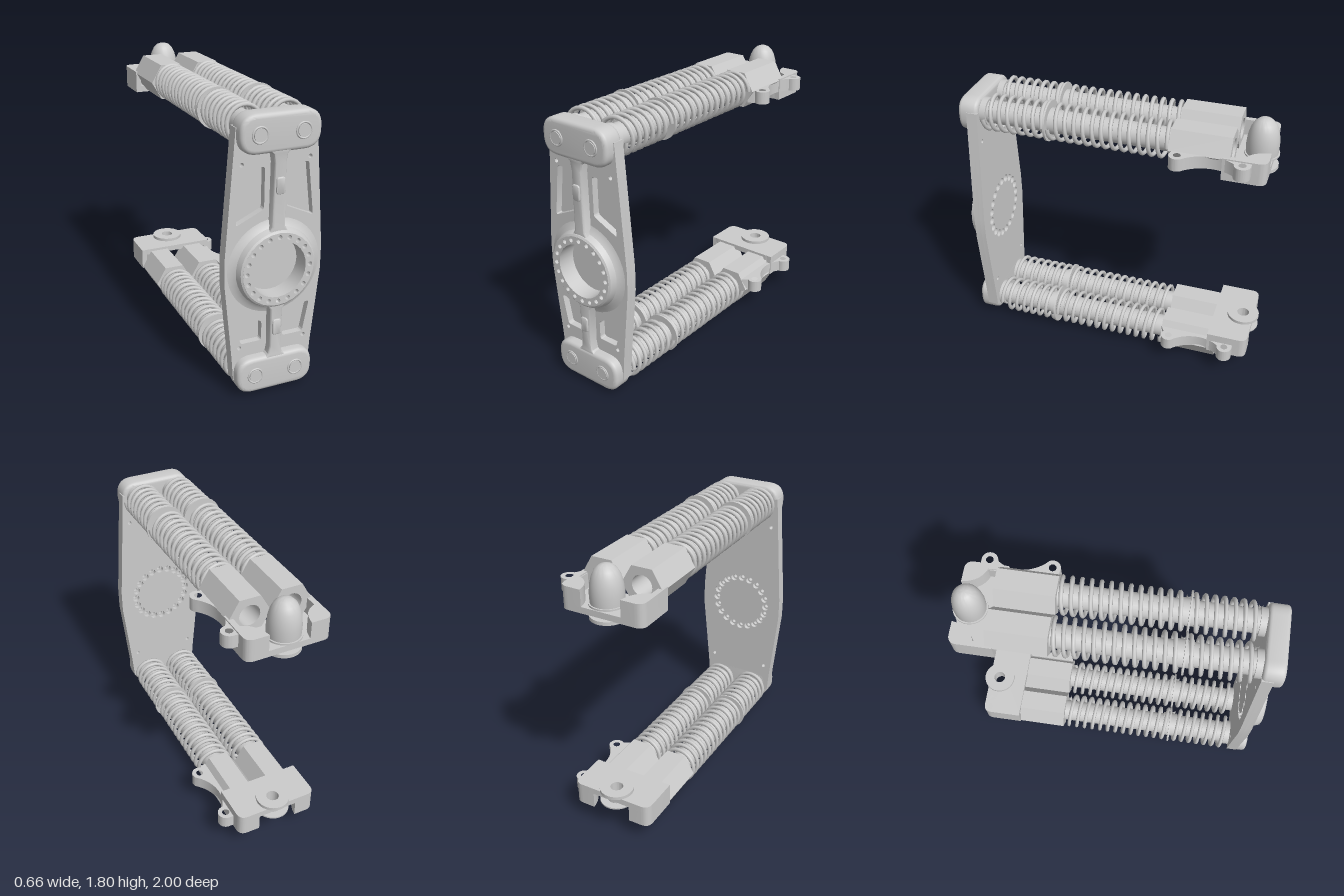
import * as THREE from 'three';
import { toCreasedNormals } from 'three/addons/utils/BufferGeometryUtils.js';

const CX = -0.03;        // centre line of the frame
const MID = 0.88;        // mirror height between the two arms
const HUB = 0.813;       // hub height
const ROD_Y = 1.632;
const TAU = Math.PI * 2;
const mat = new THREE.MeshStandardMaterial({ color: 0xcccccc });

function add(group, name, geo) {
  const m = new THREE.Mesh(geo, mat);
  m.name = name;
  group.add(m);
  return m;
}

function circle(x, y, r) {
  return new THREE.Path().absarc(x, y, r, 0, TAU, true);
}

const poly = pts => new THREE.Shape(pts.map(p => new THREE.Vector2(p[0], p[1])));

// polygon with rounded corners
function rounded(pts, r, Type = THREE.Shape) {
  const s = new Type(), n = pts.length, v = pts.map(p => new THREE.Vector2(p[0], p[1]));
  v.forEach((c, i) => {
    const a = v[(i + n - 1) % n], b = v[(i + 1) % n];
    const p = c.clone().add(a.clone().sub(c).setLength(r));
    const q = c.clone().add(b.clone().sub(c).setLength(r));
    if (i) s.lineTo(p.x, p.y); else s.moveTo(p.x, p.y);
    s.quadraticCurveTo(c.x, c.y, q.x, q.y);
  });
  s.closePath();
  return s;
}

// extrude from z0 to z1, outline kept at its widest
function extrude(shape, z0, z1, bevel = 0) {
  const g = new THREE.ExtrudeGeometry(shape, {
    depth: z1 - z0 - 2 * bevel, bevelEnabled: bevel > 0, bevelSize: bevel, bevelThickness: bevel,
    bevelOffset: -bevel, bevelSegments: 4, curveSegments: 14,
  });
  g.translate(0, 0, z0 + bevel);
  return toCreasedNormals(g, 0.6);
}

// horizontal slab from an outline in x and z
const slab = (shape, y0, y1) => extrude(shape, 0, y1 - y0).rotateX(Math.PI / 2).translate(0, y1, 0);

const lathe = pts => toCreasedNormals(
  new THREE.LatheGeometry(pts.map(p => new THREE.Vector2(p[0], p[1])), 40), 0.6);

function cylZ(r, z0, z1, x, y) {
  return new THREE.CylinderGeometry(r, r, z1 - z0, 28).rotateX(Math.PI / 2).translate(x, y, (z0 + z1) / 2);
}

class Helix extends THREE.Curve {
  constructor(x, y, z0, z1, r, turns) {
    super();
    Object.assign(this, { x, y, z0, z1, r, turns });
  }
  getPoint(t, out = new THREE.Vector3()) {
    const a = t * this.turns * TAU;
    return out.set(this.x + this.r * Math.cos(a), this.y + this.r * Math.sin(a), this.z0 + (this.z1 - this.z0) * t);
  }
}

// reflect a geometry to the lower arm and restore its winding
function flipped(geo) {
  const g = geo.index ? geo.toNonIndexed() : geo.clone();
  for (const key of ['position', 'normal']) {
    const a = g.attributes[key];
    for (let i = 0; i < a.count; i++) a.setY(i, (key === 'position' ? 2 * MID : 0) - a.getY(i));
    for (let i = 0; i < a.count; i += 3) {
      const p = new THREE.Vector3().fromBufferAttribute(a, i + 1);
      const q = new THREE.Vector3().fromBufferAttribute(a, i + 2);
      a.setXYZ(i + 1, q.x, q.y, q.z);
      a.setXYZ(i + 2, p.x, p.y, p.z);
    }
  }
  return g;
}

function buildPlate() {
  const g = new THREE.Group();
  g.name = 'frontPlate';

  // tapered plate in two layers, the front one pierced by the pockets
  const half = [[0.25, 0.1], [0.262, 0.26], [0.31, 0.74], [0.31, 0.89], [0.262, 1.5], [0.25, 1.66]];
  const outline = () => poly([
    ...half.map(([x, y]) => [CX + x, y]), ...half.slice().reverse().map(([x, y]) => [CX - x, y])]);
  const back = outline(), front = outline();
  for (const s of [back, front]) {
    s.holes.push(circle(CX, HUB, 0.238));
    for (const x of [-0.212, 0.212]) for (const y of [0.31, 1.447]) s.holes.push(circle(CX + x, y, 0.013));
  }
  const upper = [[0.07, 1.42], [0.205, 1.42], [0.245, 1.09], [0.07, 1.17]];
  const lower = [[0.07, 0.335], [0.205, 0.335], [0.243, 0.535], [0.2, 0.53], [0.07, 0.46]];
  for (const s of [-1, 1]) for (const p of [upper, lower])
    front.holes.push(rounded(p.map(([x, y]) => [CX + s * x, y]), 0.018, THREE.Path));
  add(g, 'plateBack', extrude(back, 0.86, 0.89));
  add(g, 'plateFront', extrude(front, 0.89, 0.932));

  // hub with a ring of holes, counterbored at the back
  const disc = new THREE.Shape().absarc(CX, HUB, 0.24, 0, TAU);
  const ring = new THREE.Shape().absarc(CX, HUB, 0.226, 0, TAU);
  ring.holes.push(circle(CX, HUB, 0.173));
  for (let i = 0; i < 20; i++) {
    const a = (i + 0.5) / 20 * TAU + Math.PI / 20;
    const x = CX + 0.2 * Math.cos(a), y = HUB + 0.2 * Math.sin(a);
    disc.holes.push(circle(x, y, 0.026));
    ring.holes.push(circle(x, y, 0.0145));
  }
  add(g, 'hubFloor', extrude(disc, 0.86, 0.888));
  add(g, 'hubRing', extrude(ring, 0.888, 1));
  add(g, 'hubFlare', lathe([[0.302, 0.93], [0.272, 0.938], [0.25, 0.955], [0.242, 0.98], [0.237, 0.992], [0.224, 1]])
    .rotateX(Math.PI / 2).scale(1, 1, 1).translate(CX, HUB, 0)).material =
    new THREE.MeshStandardMaterial({ color: 0xcccccc, side: THREE.DoubleSide });

  // ribs and end pads with bolt heads
  for (const s of [-1, 1]) {
    const y = v => MID + s * v;
    const hubEnd = HUB + s * 0.21 - MID;
    const side = [[0.07, s * hubEnd], [0.04, s * hubEnd + 0.05], [0.036, 0.57], [0.045, 0.62], [0.075, 0.65]];
    const rib = poly([...side.map(([x, v]) => [CX + x, y(v)]),
      ...side.slice().reverse().map(([x, v]) => [CX - x, y(v)])]);
    add(g, 'rib', extrude(rib, 0.92, 0.988, 0.012));
    const boss = rounded([[-0.027, 0.39], [0.027, 0.39], [0.027, 0.49], [-0.027, 0.49]].map(([x, v]) => [CX + x, y(v)]), 0.018);
    add(g, 'ribBoss', extrude(boss, 0.95, 0.998, 0.006));
    const pad = rounded([[-0.247, 0.63], [0.247, 0.63], [0.247, 0.857], [-0.247, 0.857]].map(([x, v]) => [CX + x, y(v)]), 0.105);
    add(g, 'endPad', extrude(pad, 0.86, 0.993, 0.025));
    for (const x of [-0.132, 0.132]) {
      add(g, 'boltHead', cylZ(0.038, 0.97, 1, CX + x, y(0.742)));
      add(g, 'boltRim', new THREE.TorusGeometry(0.045, 0.006, 8, 32).translate(CX + x, y(0.742), 0.993));
    }
  }
  return g;
}

function buildArm() {
  const g = new THREE.Group();
  for (const s of [-1, 1]) {
    const x = CX + s * 0.132;
    // sliding rod, sleeve and two coil springs
    add(g, 'rod', cylZ(0.074, -0.45, 0.86, x, ROD_Y));
    add(g, 'collar', cylZ(0.088, 0.82, 0.87, x, ROD_Y));
    add(g, 'sleeve', cylZ(0.084, 0.36, 0.46, x, ROD_Y));
    add(g, 'springWasher', cylZ(0.13, 0.406, 0.418, x, ROD_Y));
    for (const [z0, z1, turns] of [[-0.365, 0.395, 13], [0.43, 0.825, 7]])
      add(g, 'spring', new THREE.TubeGeometry(new Helix(x, ROD_Y, z0, z1, 0.11, turns), turns * 26, 0.0135, 7));

    // hexagonal housing with a bore
    const hex = poly([0, 1, 2, 3, 4, 5].map(i =>
      [x + 0.133 * Math.cos(i * Math.PI / 3), ROD_Y - 0.004 + 0.133 * Math.sin(i * Math.PI / 3)]));
    hex.holes.push(circle(x, ROD_Y, 0.066));
    add(g, 'hexHousing', extrude(hex, -0.745, -0.375));

    // bracket side wall with a thick rear corner
    const wall = new THREE.Shape();
    const X = v => CX + s * v;
    wall.moveTo(X(0.235), -0.7);
    wall.lineTo(X(0.27), -0.7);
    wall.lineTo(X(0.27), -0.91);
    wall.quadraticCurveTo(X(0.27), -0.965, X(0.215), -0.965);
    wall.lineTo(X(0.13), -0.965);
    wall.quadraticCurveTo(X(0.145), -0.85, X(0.235), -0.82);
    add(g, 'bracketWall', slab(wall, 1.495, 1.64));
  }

  // bracket floor
  const floor = rounded([[CX - 0.27, -0.7], [CX + 0.27, -0.7], [CX + 0.27, -0.965], [CX - 0.27, -0.965]], 0.055);
  floor.holes.push(circle(CX, -0.893, 0.045));
  add(g, 'bracketFloor', slab(floor, 1.495, 1.535));

  // pivot flange and washer
  for (const [name, y0, y1] of [['pivotFlange', 1.474, 1.496], ['pivotWasher', 1.56, 1.57], ['pivotBush', 1.49, 1.565]]) {
    const r = name === 'pivotBush' ? 0.06 : 0.107;
    add(g, name, lathe([[0.04, y0], [r, y0], [r, y1], [0.04, y1], [0.04, y0]]).translate(CX, 0, -0.893));
  }

  // side ear with two lugs and a scooped edge
  const ear = new THREE.Shape();
  ear.moveTo(0.2, -0.375);
  ear.lineTo(0.235, -0.395);
  ear.absarc(0.27, -0.44, 0.05, 2.2, -0.6, true);
  ear.bezierCurveTo(0.21, -0.56, 0.21, -0.7, 0.27, -0.775);
  ear.absarc(0.27, -0.825, 0.05, Math.PI / 2, -Math.PI / 2, true);
  ear.lineTo(0.2, -0.875);
  for (const z of [-0.44, -0.825]) ear.holes.push(circle(0.27, z, 0.023));
  add(g, 'sideEar', slab(ear, 1.55, 1.632));
  return g;
}

export function createModel() {
  const model = new THREE.Group();
  model.name = 'springFrame';
  model.add(buildPlate());

  const top = buildArm();
  top.name = 'upperArm';
  const bottom = new THREE.Group();
  bottom.name = 'lowerArm';
  top.children.forEach(m => add(bottom, m.name, flipped(m.geometry)));

  // domed knob, upper arm only
  add(top, 'domeKnob', lathe([[0, 1.57], [0.098, 1.57], [0.1, 1.63], [0.094, 1.685], [0.082, 1.73],
    [0.064, 1.765], [0.04, 1.787], [0.018, 1.795], [0, 1.797]]).translate(CX, 0, -0.893));
  model.add(top, bottom);
  return model;
}
